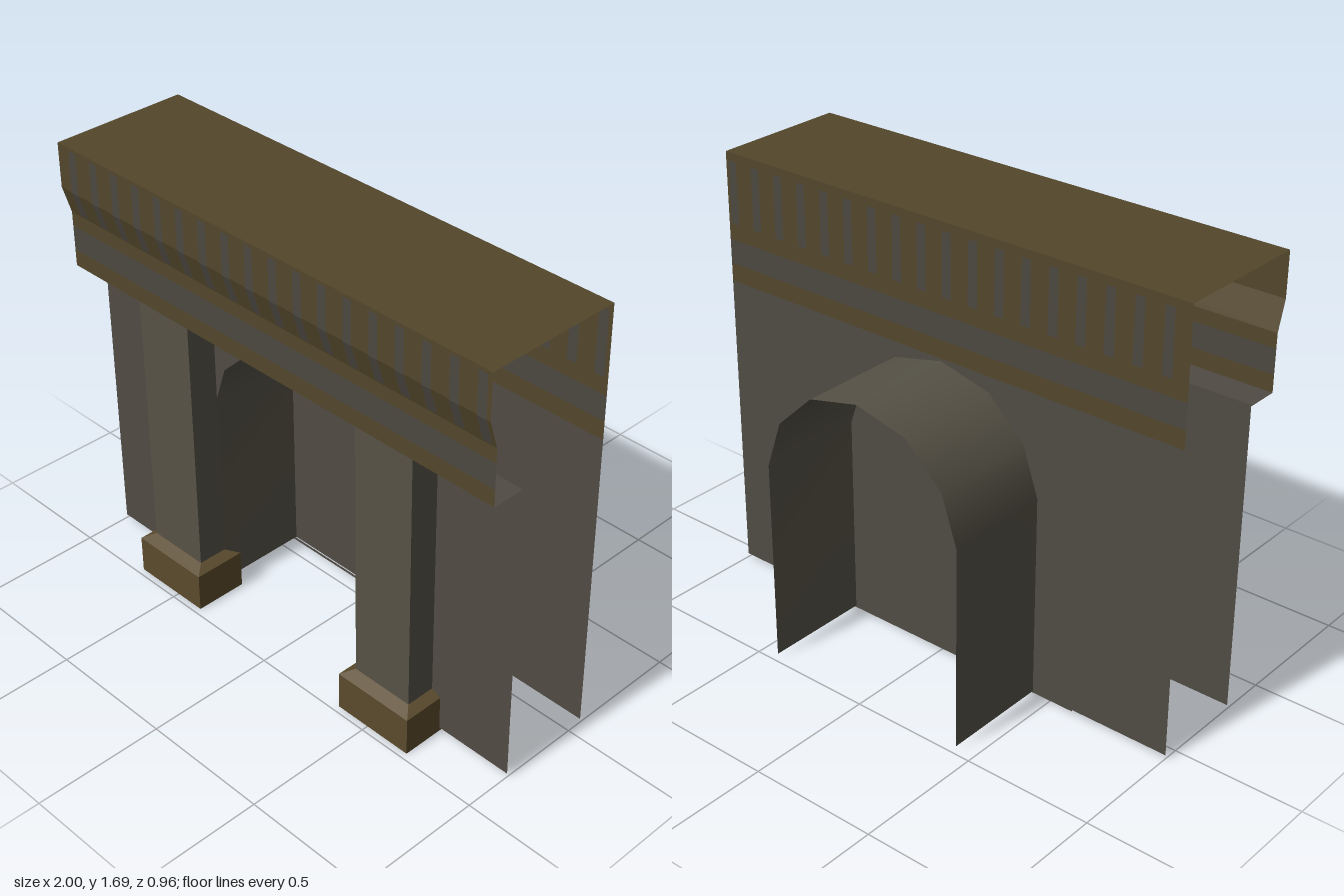
import * as THREE from 'three';

const mat = (name, color) => {
  const m = new THREE.MeshStandardMaterial({ color, side: THREE.DoubleSide });
  m.name = name;
  return m;
};

// Surface through a list of cross-sections, each with the same number of [x, y, z] points
function loft(sections, smooth = false) {
  const n = sections[0].length, index = [];
  for (let s = 0; s < sections.length - 1; s++) {
    for (let i = 0; i < n - 1; i++) {
      const a = s * n + i, b = a + n;
      index.push(a, a + 1, b, a + 1, b + 1, b);
    }
  }
  let g = new THREE.BufferGeometry();
  g.setAttribute('position', new THREE.Float32BufferAttribute(sections.flat(2), 3));
  g.setIndex(index);
  if (!smooth) g = g.toNonIndexed();
  g.computeVertexNormals();
  return g;
}

export function createModel() {
  const group = new THREE.Group();
  const wall = mat('wall stone', 0x504c44);
  const pier = mat('pier stone', 0x565246);
  const brown = mat('brown trim', 0x53462b);
  const baseBrown = mat('base brown', 0x5b4b2d);
  const inlay = mat('grey inlay', 0x4c4841);

  const add = (name, geometry, material) => {
    const mesh = new THREE.Mesh(geometry, material);
    mesh.name = name;
    group.add(mesh);
  };
  // Profile of [y, z] points stretched along x
  const sheet = (name, profile, material, x0 = -1, x1 = 1, b0 = x0, b1 = x1) => {
    const last = profile.length - 1;
    const side = (t, b) => profile.map(([y, z], i) => [t + (b - t) * i / last, y, z]);
    add(name, loft([side(x0, b0), side(x1, b1)]), material);
  };

  const yTop = 1.69, yBottom = 0.015, zBack = -0.06, zWall = 0.315;

  // Front wall with an arched opening
  const half = [[0.425, yBottom], [0.425, 0.8], [0.362, 0.985], [0.21, 1.13]];
  const arch = [
    ...half.map(([x, y]) => [-x, y]), [0, 1.18], ...[...half].reverse(),
  ].map(([x, y]) => [x - 0.004, y]);
  const outline = [[-1, 1.2], [-1, yBottom], ...arch, [1, yBottom], [1, 1.2]];
  const wallShape = new THREE.Shape(outline.map(([x, y]) => new THREE.Vector2(x, y)));
  add('frontWall', new THREE.ShapeGeometry(wallShape).translate(0, 0, zWall), wall);

  // Arched passage running through to the back
  const ring = z => arch.map(([x, y]) => [x, y, z]);
  add('archPassage', loft([ring(-0.48), ring(zWall)], true), pier);

  // Back wall with its painted bands, and a thin lip below it
  sheet('backWall', [[1.19, zBack], [yBottom, zBack]], wall);
  sheet('backLowerBand', [[1.26, zBack], [1.19, zBack]], brown);
  sheet('backGreyBand', [[1.355, zBack], [1.26, zBack]], inlay);
  sheet('backFrieze', [[yTop, zBack], [1.355, zBack]], brown);
  sheet('wallLip', [[yBottom, zBack + 0.005], [0.004, zBack + 0.005]], wall, -0.6, 0.6);

  // Cornice, open at both ends
  sheet('corniceTop', [[yTop, zBack], [yTop, 0.475]], brown);
  sheet('corniceFrieze', [[yTop, 0.475], [1.52, 0.475], [1.41, 0.442], [1.355, 0.442]], brown);
  sheet('corniceGreyBand', [[1.355, 0.442], [1.26, 0.442]], inlay);
  sheet('corniceLowerBand', [[1.26, 0.442], [1.195, 0.442]], brown);
  sheet('corniceUnderside', [[1.195, 0.442], [1.195, zWall]], wall);

  // Grey upright stripes on the frieze, front and back
  for (let i = 0; i < 18; i++) {
    const x = -0.92 + i * 0.111;
    const span = [x - 0.018, x + 0.018, x - 0.02, x + 0.02];
    sheet('friezeStripe', [[1.68, 0.478], [1.52, 0.478], [1.42, 0.448]], inlay, ...span);
    for (const z of [zBack - 0.003, zBack + 0.003]) {
      sheet('backStripe', [[1.66, z], [1.42, z]], inlay, ...span);
    }
  }

  // Piers and their chamfered bases, open towards the wall
  const uShape = (cx, w, y, zb, zf) =>
    [[cx - w, y, zb], [cx - w, y, zf], [cx + w, y, zf], [cx + w, y, zb]];
  for (const cx of [-0.54, 0.524]) {
    add('pier', loft([
      uShape(cx, 0.126, 0.17, zWall, 0.43),
      uShape(cx, 0.126, 1.215, zWall, 0.43),
    ]), pier);
    add('pierBase', loft([
      uShape(cx, 0.164, 0, 0.27, 0.475),
      uShape(cx, 0.164, 0.15, 0.27, 0.475),
      uShape(cx, 0.126, 0.17, zWall, 0.43),
    ]), baseBrown);
  }
  return group;
}
